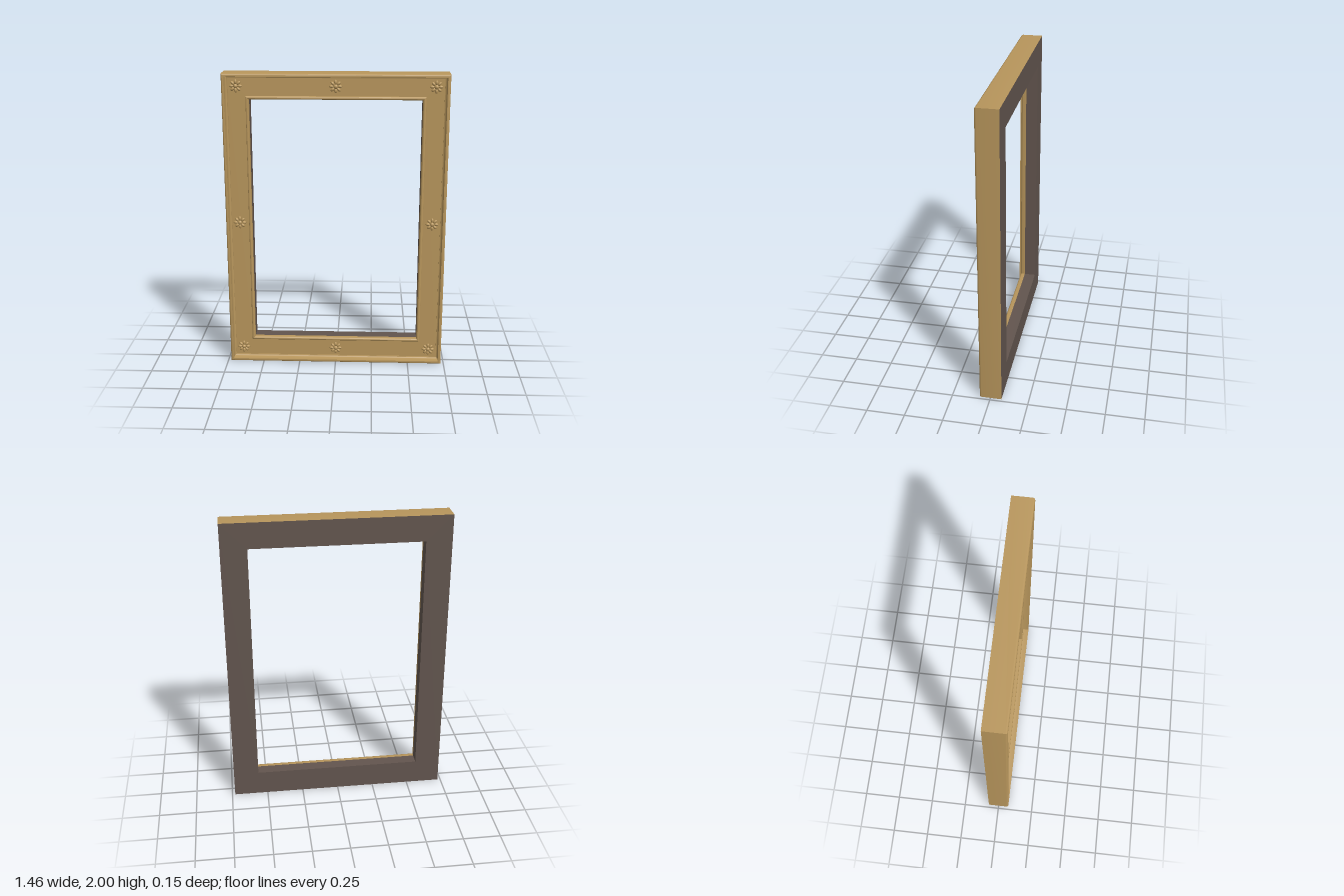
import * as THREE from 'three';
import { toCreasedNormals } from 'three/addons/utils/BufferGeometryUtils.js';

const HALF_W = 0.73, HALF_H = 1;
const PANEL_Z = 0.02;

// Sweeps a moulding profile of [inset, z] points round the rectangle with mitred corners.
function frameSweep(profile) {
  const signs = [[-1, -1], [1, -1], [1, 1], [-1, 1]];
  const point = (k, [d, z]) => {
    const [sx, sy] = signs[k % 4];
    return [sx * (HALF_W - d), HALF_H + sy * (HALF_H - d), z];
  };
  const pos = [];
  for (let k = 0; k < 4; k++) {
    for (let i = 0; i < profile.length - 1; i++) {
      const a = point(k, profile[i]), b = point(k + 1, profile[i]);
      const c = point(k + 1, profile[i + 1]), d = point(k, profile[i + 1]);
      pos.push(...a, ...b, ...c, ...a, ...c, ...d);
    }
  }
  const geo = new THREE.BufferGeometry();
  geo.setAttribute('position', new THREE.Float32BufferAttribute(pos, 3));
  return toCreasedNormals(geo, 0.6);
}

// Points on an arc in profile space.
function arc(cx, cz, r, from, to, n) {
  return Array.from({ length: n + 1 }, (_, i) => {
    const t = from + (to - from) * i / n;
    return [cx + r * Math.cos(t), cz + r * Math.sin(t)];
  });
}

export function createModel() {
  const gold = new THREE.MeshStandardMaterial({ color: 0xb8965c });
  gold.name = 'antiqueGold';
  const wood = new THREE.MeshStandardMaterial({ color: 0x62554e });
  wood.name = 'darkWood';

  const model = new THREE.Group();
  model.name = 'pictureFrame';
  const add = (parent, name, geo, mat) => {
    const mesh = new THREE.Mesh(geo, mat);
    mesh.name = name;
    parent.add(mesh);
    return mesh;
  };

  // Gilt front: side wall, rounded rim, cove, flat panel and inner bead
  add(model, 'giltMoulding', frameSweep([
    [0, -0.073],
    ...arc(0.013, 0.06, 0.013, Math.PI, Math.PI / 2, 5),
    [0.02, 0.073],
    ...arc(0.033, 0.038, 0.012, Math.PI, Math.PI * 1.5, 4),
    [0.033, PANEL_Z],
    [0.149, PANEL_Z],
    [0.149, 0.028],
    ...arc(0.1595, 0.028, 0.0105, Math.PI, 0, 6),
    [0.17, 0.005],
  ]), gold);

  // Bare wooden rebate and back
  add(model, 'openingWallAndBack', frameSweep([
    [0.17, 0.005], [0.17, -0.073], [0, -0.073],
  ]), wood);

  // Eight-petalled rosettes at the corners and side centres
  const petalGeo = new THREE.SphereGeometry(1, 10, 8);
  const PETALS = 8;
  for (const x of [-0.643, 0, 0.643]) {
    for (const y of [0.09, 1, 1.915]) {
      if (x === 0 && y === 1) continue;
      const rosette = new THREE.Group();
      rosette.name = 'rosette';
      rosette.position.set(x, y, PANEL_Z);
      for (let i = 0; i < PETALS; i++) {
        const a = i / PETALS * Math.PI * 2;
        const petal = add(rosette, 'petal', petalGeo, gold);
        petal.position.set(Math.cos(a) * 0.027, Math.sin(a) * 0.027, 0.004);
        petal.rotation.z = a;
        petal.scale.set(0.016, 0.0095, 0.01);
      }
      const centre = add(rosette, 'rosetteCentre', petalGeo, gold);
      centre.position.z = 0.006;
      centre.scale.set(0.015, 0.015, 0.014);
      model.add(rosette);
    }
  }
  return model;
}
